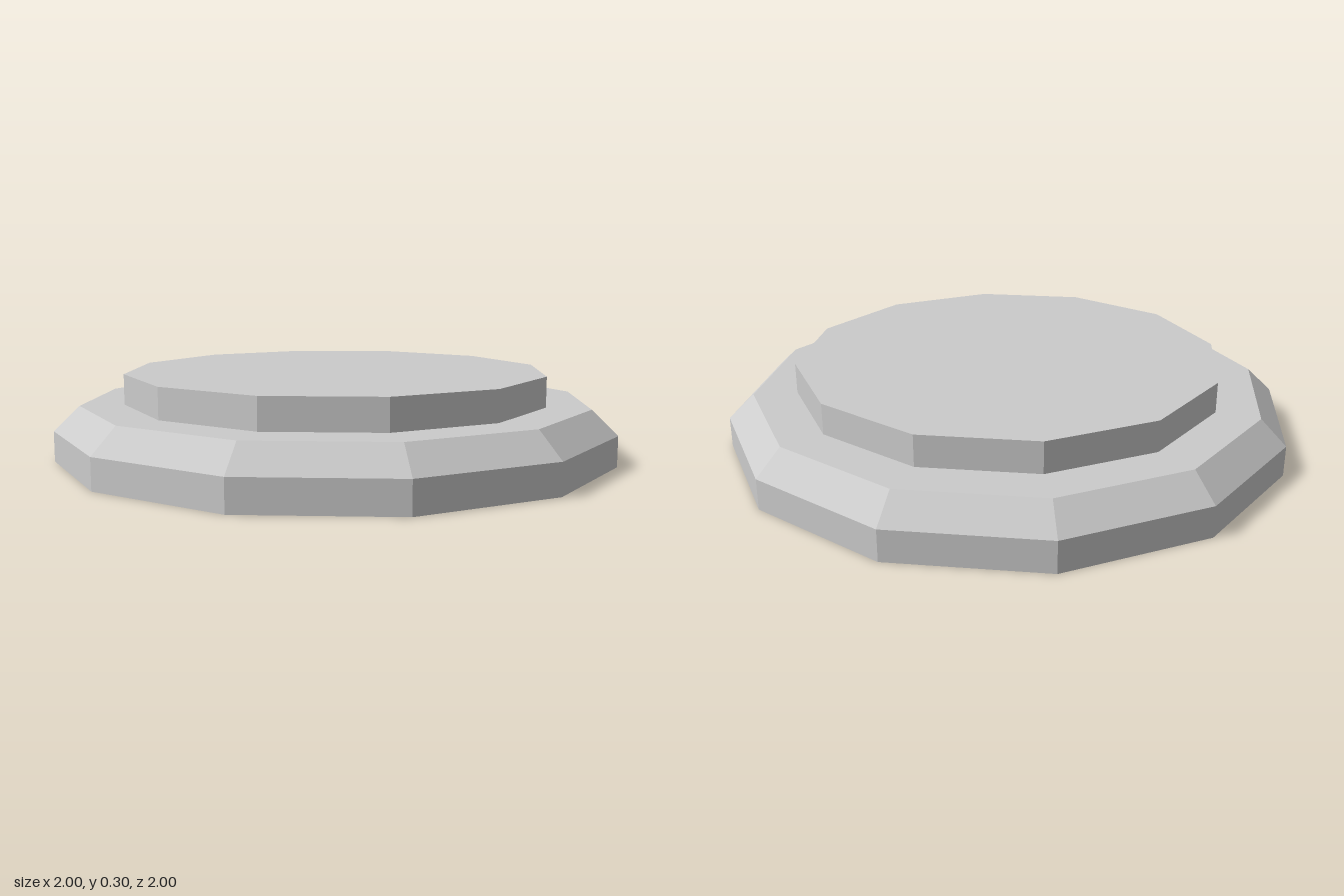
import * as THREE from 'three';

const SIDES = 12;

export function createModel() {
  const group = new THREE.Group();
  group.name = 'steppedDisc';
  const material = new THREE.MeshStandardMaterial({ color: 0xcccccc, flatShading: true });

  // Revolve a [radius, height] profile, listed bottom to top, into a faceted part
  const addPart = (name, profile) => {
    const points = profile.map(([r, y]) => new THREE.Vector2(r, y));
    const mesh = new THREE.Mesh(new THREE.LatheGeometry(points, SIDES), material);
    mesh.name = name;
    group.add(mesh);
  };

  // Wide base: flat underside, upright rim, chamfer and ledge
  addPart('chamferedBase', [[0, 0], [1, 0], [1, 0.107], [0.91, 0.193], [0.757, 0.193]]);

  // Raised plate standing on the ledge
  addPart('raisedPlate', [[0.757, 0.193], [0.757, 0.3], [0, 0.3]]);

  return group;
}
